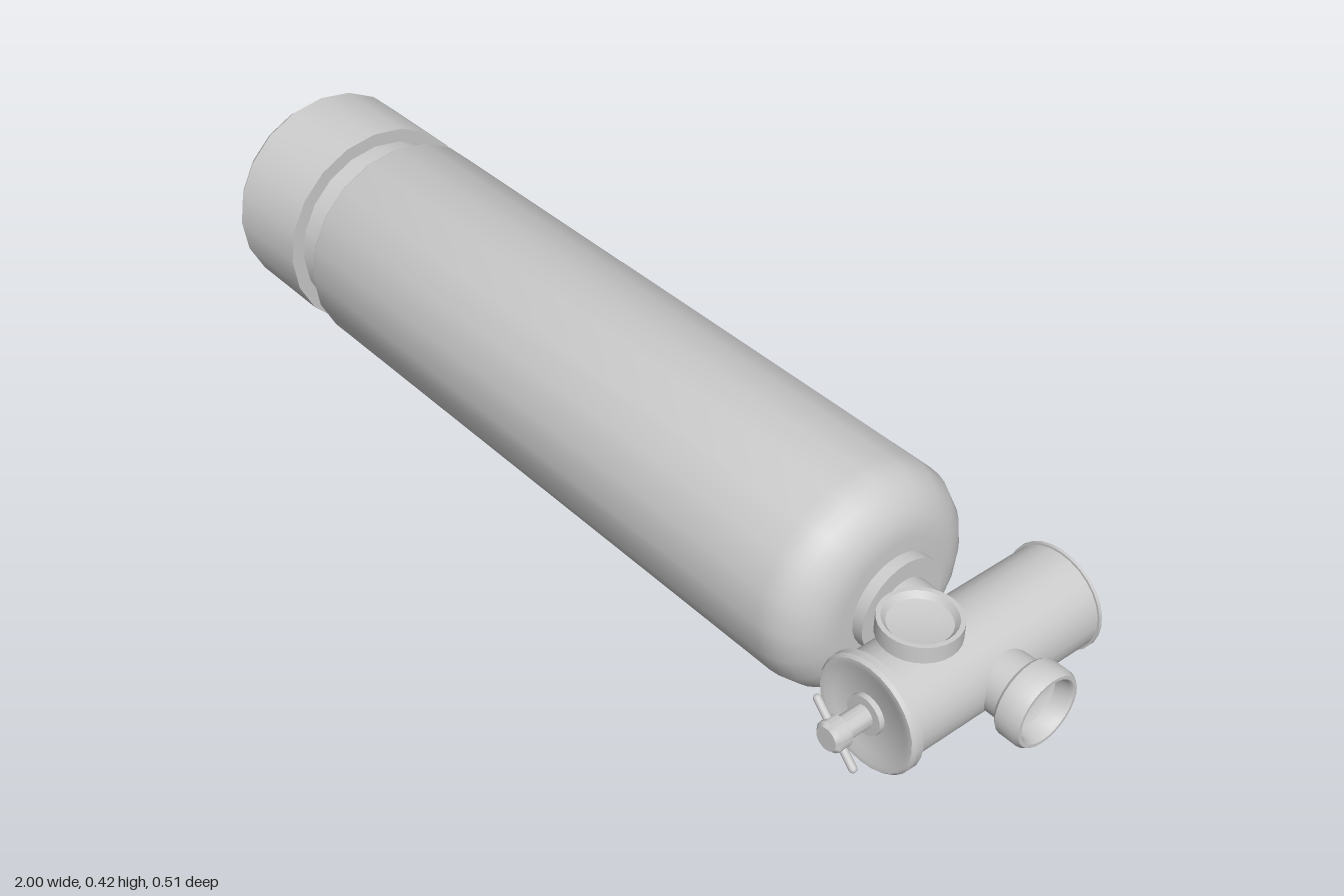
import * as THREE from 'three';
import { toCreasedNormals } from 'three/addons/utils/BufferGeometryUtils.js';

const AXIS_Y = 0.213, AXIS_Z = -0.045, VALVE_X = 0.83;
const material = new THREE.MeshStandardMaterial({ color: 0xcccccc });

// Rotations that turn the lathe's y axis to the named direction
const turns = {
  x: [0, 0, -Math.PI / 2],
  z: [Math.PI / 2, 0, 0],
  up: [0, 0, 0],
  down: [Math.PI, 0, 0],
};

// Turned part from [distance along axis, radius] pairs
function turned(name, profile, dir, position, sides = 28) {
  const points = profile.map(([t, r]) => new THREE.Vector2(r, t));
  const geometry = toCreasedNormals(new THREE.LatheGeometry(points, sides), 0.6);
  const mesh = new THREE.Mesh(geometry, material);
  mesh.name = name;
  mesh.rotation.set(...turns[dir]);
  mesh.position.set(...position);
  return mesh;
}

export function createModel() {
  const model = new THREE.Group();
  model.name = 'gasCylinder';

  // Tank: dished foot, groove, long barrel and rounded shoulder
  const shoulder = [];
  for (let i = 0; i <= 8; i++) {
    const a = (i / 8) * Math.PI / 2;
    shoulder.push([0.575 + 0.095 * Math.sin(a), 0.117 + 0.095 * Math.cos(a)]);
  }
  model.add(turned('tank', [
    [-0.965, 0], [-0.965, 0.075], [-0.972, 0.11], [-0.988, 0.145], [-1, 0.165],
    [-1, 0.185], [-0.993, 0.195], [-0.97, 0.212], [-0.78, 0.212],
    [-0.78, 0.185], [-0.71, 0.185], [-0.71, 0.209], [-0.704, 0.212],
    ...shoulder, [0.67, 0],
  ], 'x', [0, AXIS_Y, AXIS_Z], 20));

  // Neck between tank and valve
  model.add(turned('neck', [
    [0.66, 0], [0.66, 0.09], [0.692, 0.09], [0.692, 0.055], [0.8, 0.055], [0.8, 0],
  ], 'x', [0, AXIS_Y, AXIS_Z]));

  const valve = new THREE.Group();
  valve.name = 'valve';
  model.add(valve);

  // Valve body with thin back rim and front flange
  valve.add(turned('valveBody', [
    [-0.247, 0], [-0.247, 0.06], [-0.255, 0.088], [-0.255, 0.096], [-0.249, 0.096],
    [-0.249, 0.092], [0.155, 0.092], [0.155, 0.103], [0.169, 0.103], [0.175, 0.098],
    [0.175, 0.088], [0.169, 0.075], [0.169, 0],
  ], 'z', [VALVE_X, AXIS_Y, 0]));

  // Side outlet with a hollow mouth
  valve.add(turned('outlet', [
    [0.86, 0], [0.86, 0.055], [0.95, 0.055], [0.95, 0.065], [0.956, 0.07],
    [0.992, 0.07], [1, 0.065], [1, 0.059], [0.995, 0.055], [0.968, 0.052],
    [0.96, 0.04], [0.957, 0],
  ], 'x', [0, AXIS_Y, AXIS_Z]));

  // Top handwheel, dished on its upper face
  valve.add(turned('handwheel', [
    [0.28, 0], [0.28, 0.027], [0.325, 0.027], [0.325, 0.068], [0.356, 0.068],
    [0.356, 0.06], [0.346, 0.052], [0.342, 0.03], [0.342, 0],
  ], 'up', [VALVE_X, 0, 0.073]));

  // Plug under the body
  valve.add(turned('bottomPlug', [
    [-0.15, 0], [-0.15, 0.03], [-0.102, 0.03], [-0.102, 0.017], [-0.09, 0.017], [-0.09, 0],
  ], 'down', [VALVE_X, 0, 0.098], 20));

  // Front spindle with knob
  valve.add(turned('spindle', [
    [0.16, 0], [0.16, 0.035], [0.179, 0.035], [0.179, 0.02], [0.227, 0.02],
    [0.227, 0.027], [0.25, 0.027], [0.257, 0.021], [0.257, 0],
  ], 'z', [VALVE_X, AXIS_Y + 0.003, 0], 20));

  // Diagonal cross pin through the knob
  const pin = new THREE.Mesh(new THREE.CapsuleGeometry(0.007, 0.118, 4, 12), material);
  pin.name = 'crossPin';
  pin.rotation.z = Math.PI / 4;
  pin.position.set(VALVE_X, AXIS_Y + 0.003, 0.238);
  valve.add(pin);

  return model;
}
